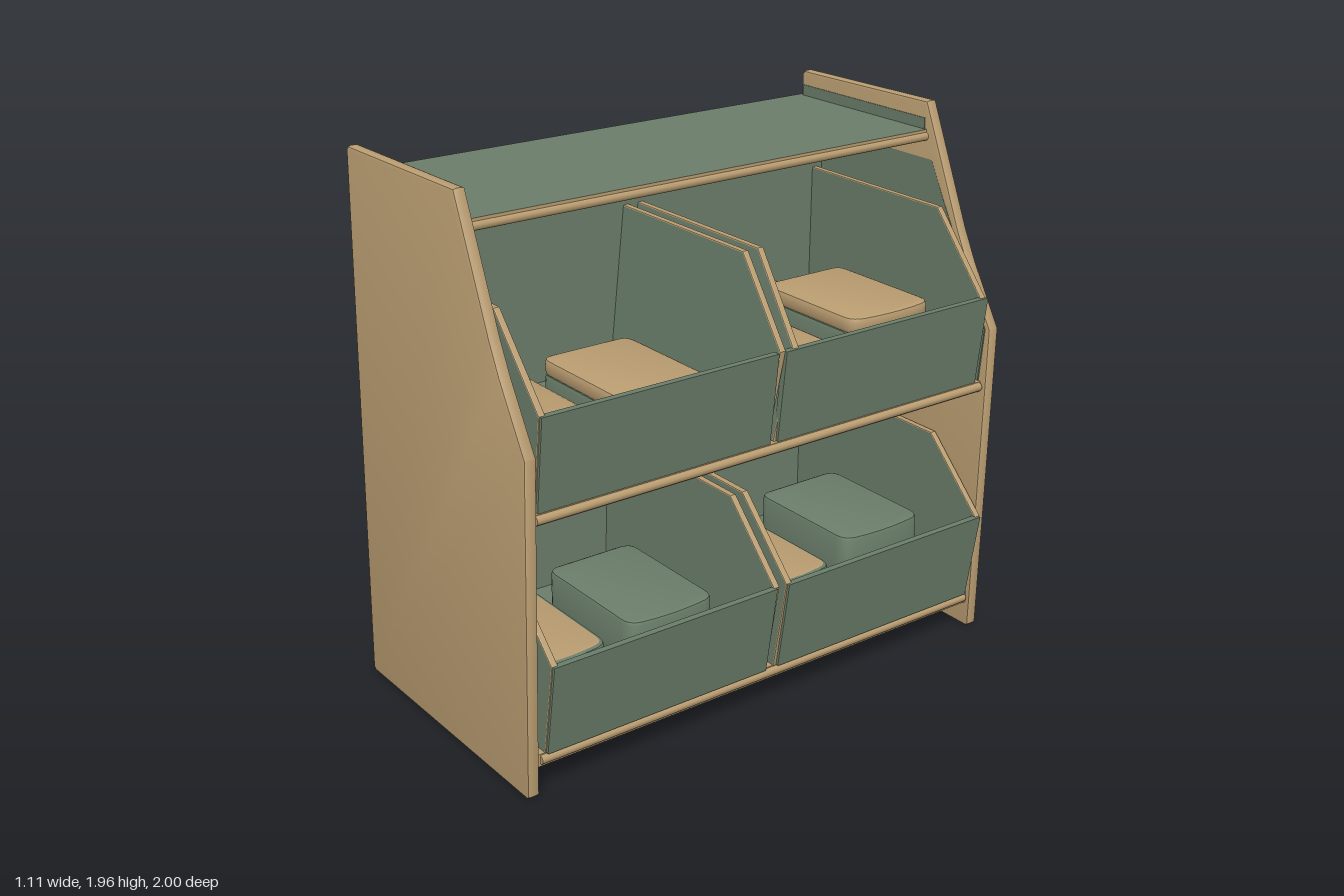
import * as THREE from 'three';
import { toCreasedNormals } from 'three/addons/utils/BufferGeometryUtils.js';

const wood = new THREE.MeshStandardMaterial({ color: 0xba9d71 });
wood.name = 'tan wood';
const green = new THREE.MeshStandardMaterial({ color: 0x6b7e6a });
green.name = 'sage green';

function add(parent, name, geometry, material) {
  const mesh = new THREE.Mesh(geometry, material);
  mesh.name = name;
  parent.add(mesh);
  return mesh;
}

// Box given by its limits on each axis
function slab(parent, name, [x0, x1], [y0, y1], [z0, z1], material) {
  const mesh = add(parent, name, new THREE.BoxGeometry(x1 - x0, y1 - y0, z1 - z0), material);
  mesh.position.set((x0 + x1) / 2, (y0 + y1) / 2, (z0 + z1) / 2);
  return mesh;
}

function outline(points) {
  return new THREE.Shape(points.map(([x, y]) => new THREE.Vector2(x, y)));
}

// Board with an xy outline, centred on z = 0, with softened edges
function board(points, thickness, bevel) {
  const geometry = new THREE.ExtrudeGeometry(outline(points), {
    depth: thickness - 2 * bevel, bevelEnabled: true, bevelSize: bevel,
    bevelThickness: bevel, bevelOffset: -bevel, bevelSegments: 2,
  });
  geometry.translate(0, 0, bevel - thickness / 2);
  return geometry;
}

// Move a geometry along z in proportion to height
function lean(geometry, amount, y0) {
  const p = geometry.attributes.position;
  for (let i = 0; i < p.count; i++) p.setZ(i, p.getZ(i) + amount * (p.getY(i) - y0));
  geometry.computeVertexNormals();
  return geometry;
}

// Cushion-like block with a rounded plan; the cap and rim can differ in colour
function block(parent, name, [x0, x1], [y0, y1], [z0, z1], cap, rim) {
  const r = 0.05, s = new THREE.Shape();
  s.moveTo(x0, -z0 - r);
  s.lineTo(x0, -z1 + r);
  s.quadraticCurveTo(x0, -z1, x0 + r, -z1);
  s.lineTo(x1 - r - 0.02, -z1);
  s.quadraticCurveTo(x1 - 0.02, -z1, x1 - 0.01, -z1 + r);
  s.quadraticCurveTo(x1 + 0.01, -(z0 + z1) / 2, x1 - 0.01, -z0 - r);
  s.quadraticCurveTo(x1 - 0.02, -z0, x1 - r - 0.02, -z0);
  s.lineTo(x0 + r, -z0);
  s.quadraticCurveTo(x0, -z0, x0, -z0 - r);
  const geometry = new THREE.ExtrudeGeometry(s, {
    depth: y1 - y0 - 0.03, bevelEnabled: true, bevelSize: 0.015,
    bevelThickness: 0.015, bevelOffset: -0.015, bevelSegments: 2, curveSegments: 5,
  });
  geometry.rotateX(-Math.PI / 2);
  geometry.translate(0, y0 + 0.015, 0);
  add(parent, name, toCreasedNormals(geometry, 0.7), [cap, rim]);
}

// Open bin pair: sloping cheeks, tilted fronts and floors
function binRow(parent, name, o) {
  const row = new THREE.Group();
  row.name = name;
  parent.add(row);
  const cheek = [[o.back, o.y0], [0.49, o.y0], [o.lip, o.yLip], [0.29, o.yTop], [o.back, o.yTop]];
  for (const [z, k] of o.cheeks) {
    const geometry = lean(board(cheek, 0.024, 0.004), k, o.y0);
    add(row, 'binSide', geometry, [green, wood]).position.z = z;
  }
  const front = [[0.475, o.y0], [0.5, o.y0], [o.lip + 0.01, o.yLip], [o.lip - 0.015, o.yLip]];
  for (const [z0, z1] of o.spans) {
    const geometry = board(front, z1 - z0, 0.003);
    add(row, 'binFront', geometry, green).position.z = (z0 + z1) / 2;
    slab(row, 'binFloor', [o.back, 0.48], [o.y0, o.y0 + 0.015], [z0 + 0.01, z1 - 0.01], green);
  }
  return row;
}

export function createModel() {
  const model = new THREE.Group();
  model.name = 'storageShelf';

  // End panels, leaning slightly inwards
  const panel = [[-0.553, 0.01], [-0.54, 0], [0.49, 0], [0.5, 0.01], [0.53, 1.2], [0.4, 1.42],
    [0.345, 1.53], [0.18, 1.92], [0.165, 1.955], [-0.51, 1.948], [-0.523, 1.935]];
  for (const side of [1, -1]) {
    const geometry = toCreasedNormals(lean(board(panel, 0.046, 0.012), -0.008 * side, 0), 0.6);
    add(model, side > 0 ? 'leftEndPanel' : 'rightEndPanel', geometry, wood).position.z = 0.977 * side;
  }

  // Shelves
  const top = [wood, wood, green, green, wood, wood];
  slab(model, 'topShelf', [-0.53, 0.17], [1.815, 1.855], [-0.945, 0.945], top);
  slab(model, 'middleShelf', [-0.5, 0.5], [0.96, 0.998], [-0.95, 0.95], wood);
  slab(model, 'bottomShelf', [-0.49, 0.485], [0.1, 0.145], [-0.955, 0.955], wood);

  // Front and back nosing on the shelves
  for (const [x, y] of [[0.165, 1.83], [-0.525, 1.83], [0.5, 0.98], [-0.495, 0.98], [0.485, 0.125]]) {
    const rod = add(model, 'shelfEdge', new THREE.CylinderGeometry(0.016, 0.016, 1.88, 10), wood);
    rod.rotation.x = Math.PI / 2;
    rod.position.set(x, y, 0);
  }

  // Back panels
  slab(model, 'upperBack', [-0.415, -0.395], [0.998, 1.815], [-0.945, 0.945], green);
  slab(model, 'lowerBack', [-0.485, -0.465], [0.105, 0.73], [-0.945, 0.945], green);

  // Painted areas inside the end panel and below the middle shelf
  slab(model, 'paintedStrip', [-0.51, 0.16], [1.85, 1.895], [-0.945, -0.936], green);
  const inner = outline([[-0.4, 1.0], [0.49, 1.0], [0.51, 1.2], [0.38, 1.42], [0.27, 1.62], [0.17, 1.815], [-0.4, 1.815]]);
  const innerPlate = new THREE.ExtrudeGeometry(inner, { depth: 0.008, bevelEnabled: false });
  add(model, 'paintedInnerSide', innerPlate, green).position.z = -0.948;
  const patch = add(model, 'undersidePatch', new THREE.CircleGeometry(0.26, 32), green);
  patch.rotation.x = Math.PI / 2;
  patch.position.set(-0.15, 0.957, 0.66);

  // Bins; cheeks are [z at the foot, lean per unit height]
  const upper = binRow(model, 'upperBins', {
    back: -0.44, y0: 1.0, lip: 0.53, yLip: 1.33, yTop: 1.605,
    cheeks: [[0.922, 0], [0.035, -0.11], [-0.01, -0.14], [-0.9, -0.01]],
    spans: [[0.02, 0.93], [-0.92, -0.01]],
  });
  const lower = binRow(model, 'lowerBins', {
    back: -0.465, y0: 0.145, lip: 0.545, yLip: 0.485, yTop: 0.735,
    cheeks: [[0.912, 0], [0.025, -0.025], [-0.03, -0.02], [-0.925, -0.01]],
    spans: [[0.02, 0.92], [-0.935, -0.03]],
  });

  // Blocks stored in the bins: z limits, front x, top heights
  const stock = [[-0.83, -0.46, 0.365, 1.29, 0.45], [-0.39, -0.06, 0.38, 1.22, 0.38],
    [0.14, 0.5, 0.38, 1.22, 0.42], [0.56, 0.9, 0.345, 1.17, 0.36]];
  stock.forEach(([z0, z1, x1, yUp, yLow], i) => {
    const main = i % 2 === 0;
    block(upper, 'upperBlock', [-0.15, x1], [yUp - 0.06, yUp], [z0, z1], wood, wood);
    block(upper, 'upperBlockBase', [-0.15, x1 + 0.02], [1.01, yUp - 0.055], [z0, z1], green, green);
    block(lower, 'lowerBlock', [-0.15, x1], [0.15, yLow], [z0, z1], main ? green : wood, green);
  });

  // Block ends showing through the upper back
  block(upper, 'rearBlockEnd', [-0.44, -0.2], [1.1, 1.24], [-0.63, -0.11], wood, wood);
  block(upper, 'rearBlockEnd', [-0.44, -0.2], [1.12, 1.22], [0.56, 0.88], wood, wood);
  return model;
}
